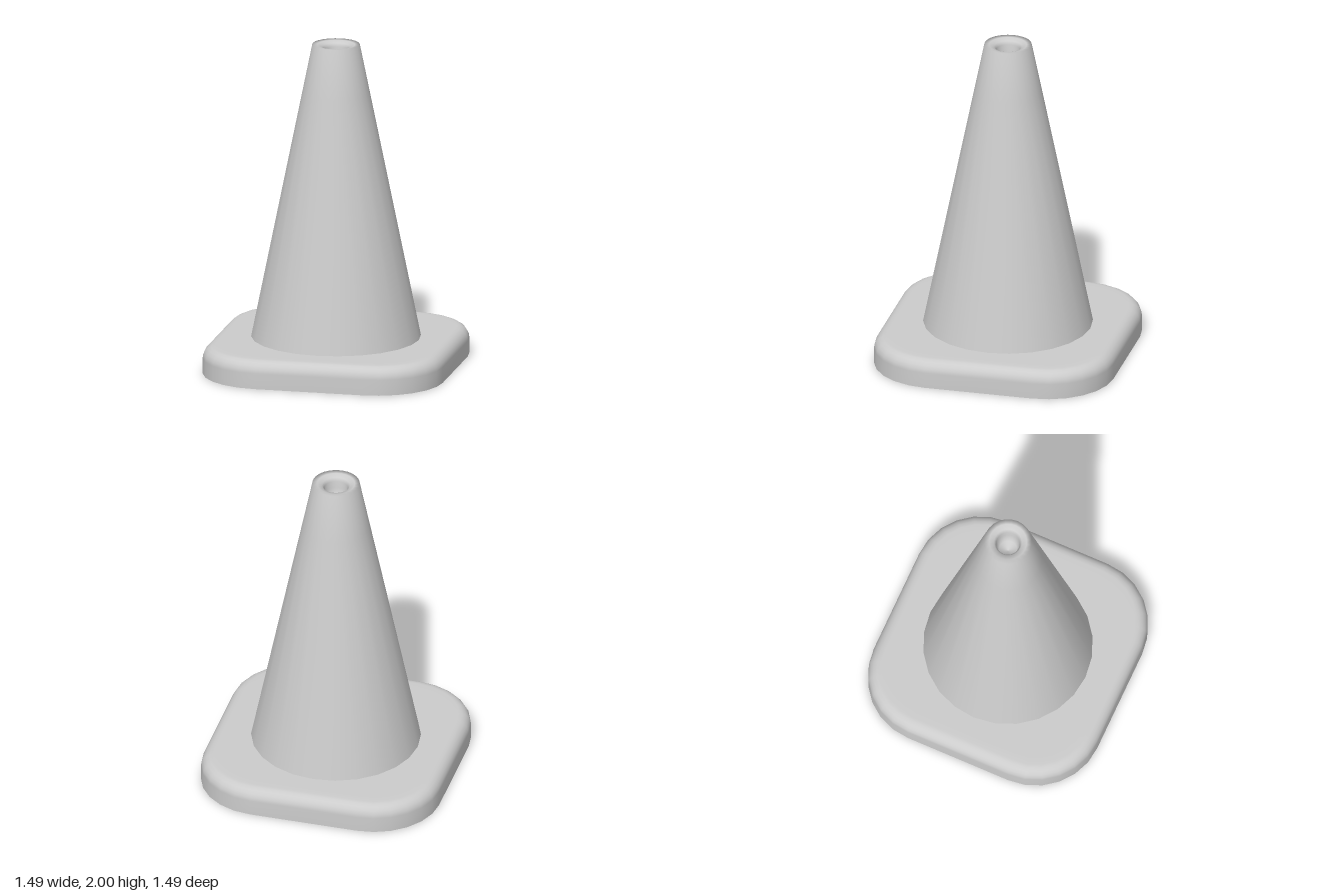
import * as THREE from 'three';

const material = new THREE.MeshStandardMaterial({ color: 0xcccccc });

// Outline of a square with rounded corners, anticlockwise seen from above
function roundedSquare(half, radius, y, steps = 6) {
  const ring = [];
  for (let corner = 0; corner < 4; corner++) {
    const mid = (corner + 0.5) * Math.PI / 2;
    const cx = Math.sign(Math.cos(mid)) * (half - radius);
    const cz = -Math.sign(Math.sin(mid)) * (half - radius);
    for (let i = 0; i <= steps; i++) {
      const a = (corner + i / steps) * Math.PI / 2;
      ring.push([cx + radius * Math.cos(a), y, cz - radius * Math.sin(a)]);
    }
  }
  return ring;
}

// Skin a stack of equal-length closed rings, listed from bottom to top
function loft(rings) {
  const n = rings[0].length;
  const index = [];
  for (let r = 0; r < rings.length - 1; r++) {
    for (let i = 0; i < n; i++) {
      const j = (i + 1) % n;
      const a = r * n + i, b = r * n + j;
      index.push(a, b, b + n, a, b + n, a + n);
    }
  }
  const geometry = new THREE.BufferGeometry();
  geometry.setAttribute('position', new THREE.Float32BufferAttribute(rings.flat(2), 3));
  geometry.setIndex(index);
  geometry.computeVertexNormals();
  return geometry;
}

export function createModel() {
  const group = new THREE.Group();
  group.name = 'trafficCone';
  const add = (name, geometry) => {
    const mesh = new THREE.Mesh(geometry, material);
    mesh.name = name;
    group.add(mesh);
  };

  // Base plate: flat underside with a sharp edge, softly rounded upper edge
  const half = 0.744, corner = 0.41, height = 0.172, bevel = 0.075;
  const rings = [
    roundedSquare(0, 0, 0),
    roundedSquare(half, corner, 0),
    roundedSquare(half, corner, 0), // repeated ring keeps the lower edge sharp
  ];
  for (let i = 0; i <= 5; i++) {
    const a = i / 5 * Math.PI / 2;
    const inset = bevel * (1 - Math.cos(a));
    rings.push(roundedSquare(half - inset, corner - inset, height - bevel * (1 - Math.sin(a))));
  }
  rings.push(roundedSquare(0.62, 0.29, height), roundedSquare(0, 0, height));
  add('base', loft(rings));

  // Tapered body, rolling over the rim into the hollow tip
  const profile = [
    [0.517, 0.17], [0.207, 1.695], [0.145, 2],
    [0.115, 1.997], [0.085, 1.985], [0.072, 1.965],
    [0.072, 1.92], [0.055, 1.86], [0, 1.84],
  ].map(([r, y]) => new THREE.Vector2(r, y));
  add('coneBody', new THREE.LatheGeometry(profile, 24));

  return group;
}
